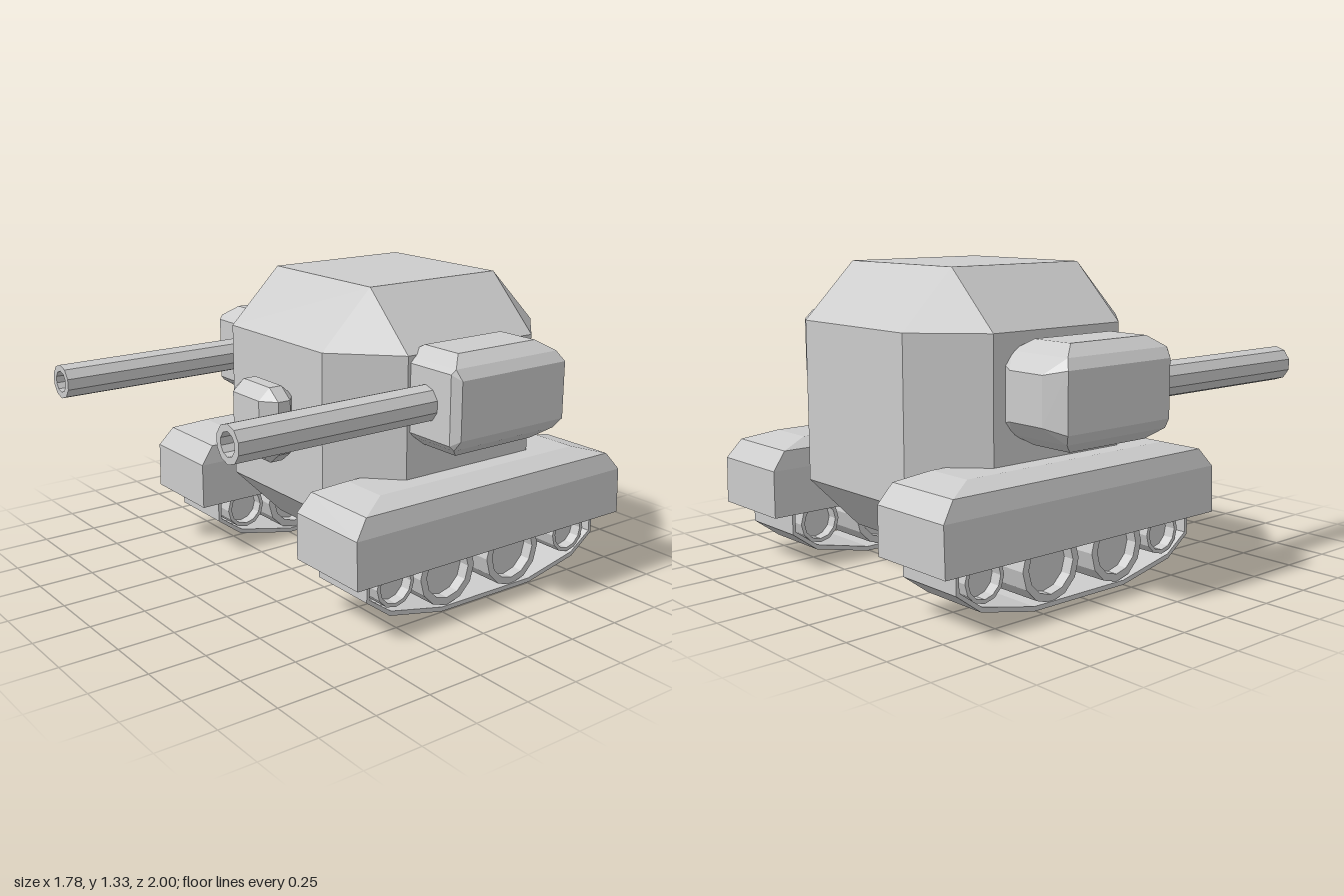
import * as THREE from 'three';
import { ConvexGeometry } from 'three/addons/geometries/ConvexGeometry.js';

const steel = new THREE.MeshStandardMaterial({ color: 0xcccccc });
steel.name = 'steel grey';

// Sharp facets: one normal per triangle
function flat(geometry) {
  const g = geometry.index ? geometry.toNonIndexed() : geometry;
  g.computeVertexNormals();
  return g;
}

function part(parent, name, geometry, x = 0, y = 0, z = 0) {
  const mesh = new THREE.Mesh(flat(geometry), steel);
  mesh.name = name;
  mesh.position.set(x, y, z);
  parent.add(mesh);
  return mesh;
}

// Box with every edge and corner cut; h = half sizes, i = half sizes of the flat faces
function chamferBox(h, i) {
  const pts = [];
  for (const sx of [-1, 1]) for (const sy of [-1, 1]) for (const sz of [-1, 1]) {
    pts.push(
      new THREE.Vector3(sx * h[0], sy * i[1], sz * i[2]),
      new THREE.Vector3(sx * i[0], sy * h[1], sz * i[2]),
      new THREE.Vector3(sx * i[0], sy * i[1], sz * h[2])
    );
  }
  return new ConvexGeometry(pts);
}

// Gun pod: rows of [half width, half height, back z, front z]
function podGeometry() {
  const pts = [];
  const rows = [
    [0.186, 0.122, -0.515, 0.05],
    [0.157, 0.165, -0.49, 0.06],
    [0.1, 0.21, -0.42, 0],
    [0.15, 0.145, -0.5, 0.078],
    [0.09, 0.1, -0.557, 0.078]
  ];
  for (const [x, y, back, front] of rows) {
    for (const sx of [-1, 1]) for (const sy of [-1, 1]) {
      pts.push(new THREE.Vector3(sx * x, sy * y, back), new THREE.Vector3(sx * x, sy * y, front));
    }
  }
  return new ConvexGeometry(pts);
}

// Fender: stacked rectangles [y, inner x, outer x, half length]
function fenderGeometry(side) {
  const pts = [];
  const levels = [
    [0.245, 0.377, 0.787, 0.746],
    [0.45, 0.377, 0.78, 0.746],
    [0.53, 0.39, 0.757, 0.683],
    [0.567, 0.455, 0.67, 0.545]
  ];
  for (const [y, inner, outer, half] of levels) {
    for (const x of [inner, outer]) for (const sz of [-1, 1]) {
      pts.push(new THREE.Vector3(side * x, y, sz * half));
    }
  }
  return new ConvexGeometry(pts);
}

function lathe(points, segments) {
  return new THREE.LatheGeometry(points.map(p => new THREE.Vector2(...p)), segments);
}

// Barrel with an open bore, pointing to +z
function barrelGeometry(length) {
  const r = 0.077, bore = 0.048, floor = length - 0.12;
  return lathe([[0, 0], [r, 0], [r, length], [bore, length], [bore, floor], [0, floor]], 10).rotateX(Math.PI / 2);
}

// Road wheel with a dished face on both sides, axle along x
function wheelGeometry(r, rim, w) {
  const d = w - 0.05;
  return lathe([[0, -d], [rim, -d], [rim, -w], [r, -w], [r, w], [rim, w], [rim, d], [0, d]], 12).rotateZ(Math.PI / 2);
}

// Thin track band, open at the top under the fender
function trackGeometry(width) {
  const outer = [[0.4, 0.25], [0.4, 0.15], [0.28, 0.062], [0, 0.003], [-0.51, 0.003], [-0.78, 0.062], [-0.9, 0.15], [-0.9, 0.25]];
  const inner = [[-0.885, 0.25], [-0.885, 0.16], [-0.775, 0.082], [-0.508, 0.023], [-0.002, 0.023], [0.275, 0.082], [0.385, 0.16], [0.385, 0.25]];
  const shape = new THREE.Shape([...outer, ...inner].map(([z, y]) => new THREE.Vector2(-z, y)));
  return new THREE.ExtrudeGeometry(shape, { depth: width, bevelEnabled: false })
    .translate(0, 0, -width / 2).rotateY(Math.PI / 2);
}

export function createModel() {
  const model = new THREE.Group();
  model.name = 'tank';
  const middle = 0.02;

  // Chamfered hull and the small housing on its front
  part(model, 'hull', chamferBox([0.59, 0.588, 0.59], [0.34, 0.345, 0.345]), middle, 0.745, -0.253);
  part(model, 'frontHousing', chamferBox([0.165, 0.165, 0.085], [0.1, 0.115, 0.03]), middle, 0.745, 0.405);

  // Gun pods sit at slightly different heights
  for (const [name, x, y] of [['left', 0.702, 0.915], ['right', -0.707, 0.851]]) {
    const gun = new THREE.Group();
    gun.name = name + 'Gun';
    gun.position.set(x, y, 0);
    part(gun, 'gunPod', podGeometry());
    part(gun, 'gunBarrel', barrelGeometry(1));
    model.add(gun);
  }

  // Running gear
  const wheels = [
    [0.245, 0.185, 0.097, 0.08],
    [-0.035, 0.17, 0.148, 0.115],
    [-0.41, 0.17, 0.152, 0.12],
    [-0.755, 0.185, 0.097, 0.08]
  ];
  for (const side of [1, -1]) {
    const gear = new THREE.Group();
    gear.name = side > 0 ? 'leftRunningGear' : 'rightRunningGear';
    gear.position.x = middle;
    part(gear, 'fender', fenderGeometry(side), 0, 0, -0.253);
    part(gear, 'track', trackGeometry(0.325), side * 0.563);
    for (const [z, y, r, rim] of wheels) {
      part(gear, 'roadWheel', wheelGeometry(r, rim, 0.155), side * 0.563, y, z);
    }
    model.add(gear);
  }
  return model;
}
